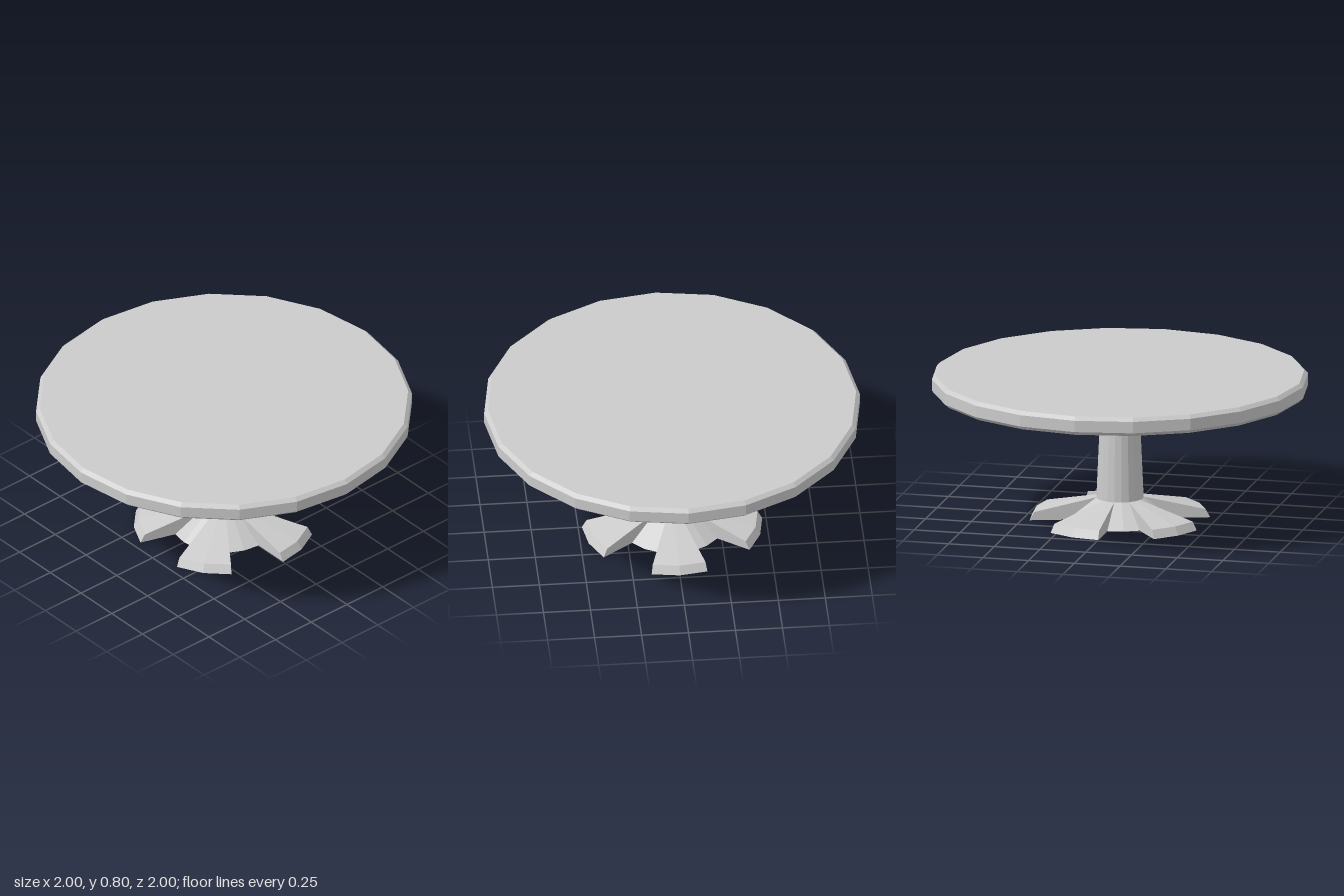
import * as THREE from 'three';

const SIDES = 20;
const STEP = (Math.PI * 2) / SIDES;

const mat = (color = 0xcccccc) => new THREE.MeshStandardMaterial({ color, flatShading: true });

function part(name, geometry, material) {
  const mesh = new THREE.Mesh(geometry, material);
  mesh.name = name;
  return mesh;
}

const lathe = (points) =>
  new THREE.LatheGeometry(points.map(([r, y]) => new THREE.Vector2(r, y)), SIDES);

// Star foot: sectors alternate two by two between a leg and a low hub cone
function footGeometry() {
  const positions = [];
  const at = ([r, y], k) => [r * Math.cos(k * STEP), y, r * Math.sin(k * STEP)];
  const face = (...p) => {
    for (let i = 1; i < p.length - 1; i++) positions.push(...p[0], ...p[i], ...p[i + 1]);
  };
  const collar = [0.125, 0.12], shoulder = [0.455, 0.045], toe = [0.48, 0], hub = [0.28, 0];

  for (let k = 0; k < SIDES; k++) {
    const profile = k % 4 >= 2 ? [collar, shoulder, toe] : [collar, hub];
    for (let i = 0; i < profile.length - 1; i++) {
      const a = profile[i], b = profile[i + 1];
      face(at(a, k), at(a, k + 1), at(b, k + 1), at(b, k));
    }
    // Underside
    const rim = profile[profile.length - 1];
    face([0, 0, 0], at(rim, k), at(rim, k + 1));
    // Side walls of each leg
    const wall = [collar, shoulder, toe, hub];
    if (k % 4 === 2) face(...wall.map((p) => at(p, k)));
    if (k % 4 === 3) face(...wall.map((p) => at(p, k + 1)).reverse());
  }
  const geometry = new THREE.BufferGeometry();
  geometry.setAttribute('position', new THREE.Float32BufferAttribute(positions, 3));
  geometry.computeVertexNormals();
  return geometry;
}

export function createModel() {
  const group = new THREE.Group();
  group.name = 'roundTable';
  const grey = mat();

  // Foot and tapered stem
  group.add(part('foot', footGeometry(), grey));
  group.add(part('stem', lathe([[0.126, 0.115], [0.1, 0.7]]), grey));

  // Bevelled table top with its rim
  group.add(part('tableTop', lathe([
    [0, 0.697], [0.978, 0.697], [1, 0.717], [1, 0.779], [0.98, 0.798], [0.955, 0.798],
  ]), grey));

  // Inlaid top surface: pale ring around a darker centre
  const ring = new THREE.RingGeometry(0.5, 0.955, SIDES).rotateX(-Math.PI / 2);
  const disc = new THREE.CircleGeometry(0.5, SIDES).rotateX(-Math.PI / 2);
  group.add(part('topRing', ring.translate(0, 0.798, 0), mat(0xffffff)));
  group.add(part('topCentre', disc.translate(0, 0.798, 0), mat(0xe6e6e6)));

  return group;
}
